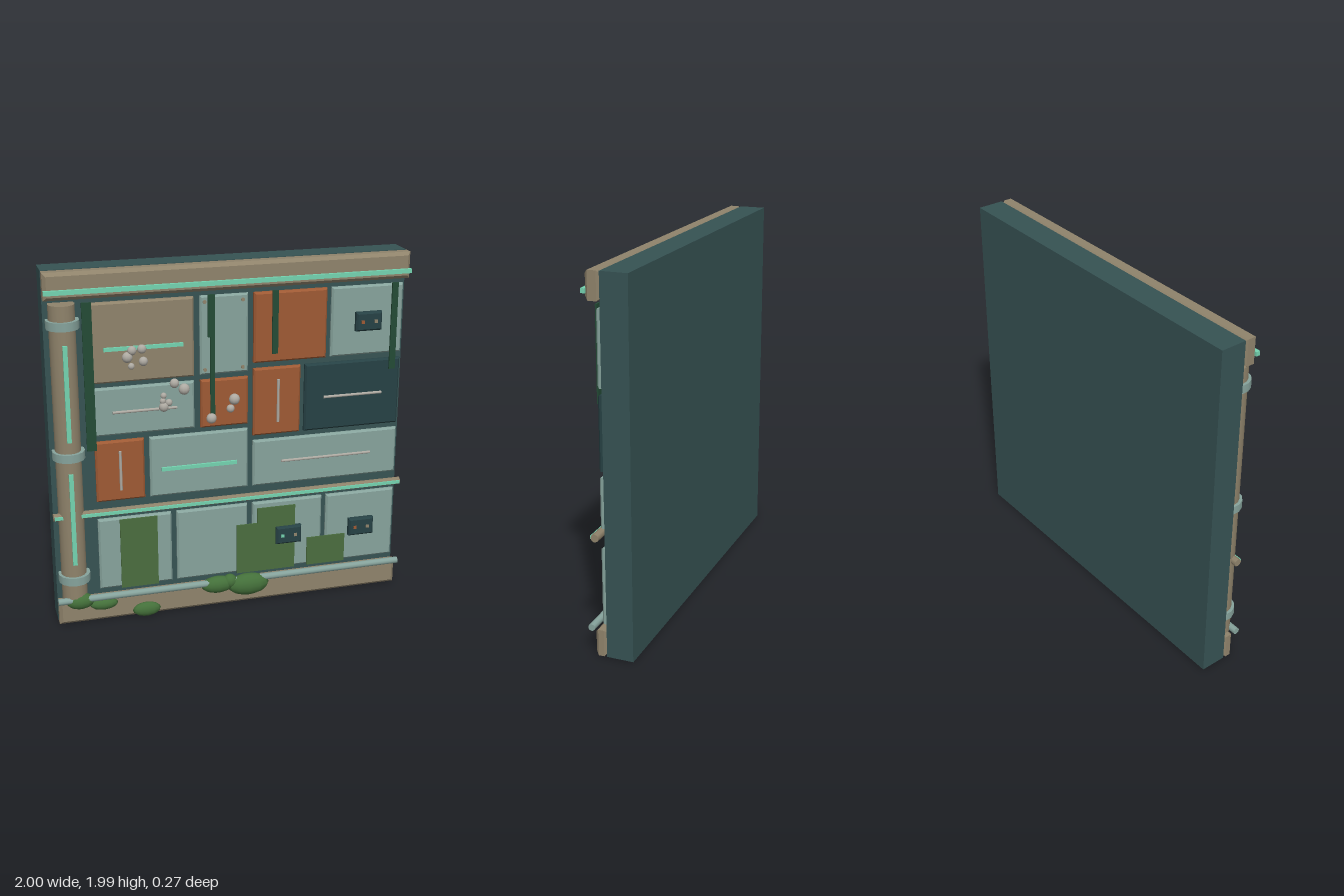
import * as THREE from 'three';

const mat = (name, color) => Object.assign(new THREE.MeshStandardMaterial({ color }), { name });
const M = {
  wall: mat('wall teal', 0x365253), light: mat('pale panel', 0x86a39c), tan: mat('tan metal', 0x8f836b),
  rust: mat('rust orange', 0x9e5a34), mint: mat('mint glow', 0x74d3b0), dark: mat('dark panel', 0x264144),
  moss: mat('moss green', 0x4a6c3e), vine: mat('vine green', 0x234a35), bush: mat('bush green', 0x44703a),
  grey: mat('pale grey', 0xaeaaa2),
};

export function createModel() {
  const root = new THREE.Group();
  root.name = 'wallSection';
  const add = (name, geo, m, x = 0, y = 0, z = 0) => {
    const mesh = new THREE.Mesh(geo, m);
    mesh.name = name;
    mesh.position.set(x, y, z);
    root.add(mesh);
    return mesh;
  };
  // Plain block given by its edges
  const block = (name, m, x0, x1, y0, y1, z0, z1) =>
    add(name, new THREE.BoxGeometry(x1 - x0, y1 - y0, z1 - z0), m, (x0 + x1) / 2, (y0 + y1) / 2, (z0 + z1) / 2);
  // Chamfered block given by its edges
  const plate = (name, m, x0, x1, y0, y1, z0, z1, b = 0.012) => {
    const w = (x1 - x0) / 2 - b, h = (y1 - y0) / 2 - b;
    const s = new THREE.Shape([[-w, -h], [w, -h], [w, h], [-w, h]].map(p => new THREE.Vector2(...p)));
    const g = new THREE.ExtrudeGeometry(s, {
      depth: z1 - z0 - 2 * b, bevelEnabled: true, bevelSize: b, bevelThickness: b, bevelSegments: 1,
    });
    return add(name, g, m, (x0 + x1) / 2, (y0 + y1) / 2, z0 + b);
  };
  // Round bar along x or y
  const bar = (name, m, r, len, x, y, z, alongX, sides = 8) => {
    const mesh = add(name, new THREE.CylinderGeometry(r, r, len, sides), m, x, y, z);
    if (alongX) mesh.rotation.z = Math.PI / 2;
    return mesh;
  };

  // Backing wall and beams
  block('wall', M.wall, -0.995, 0.995, 0.01, 2, -0.14, 0.005);
  plate('topBeam', M.tan, -0.995, 0.995, 1.855, 2, 0.003, 0.085, 0.018);
  plate('bottomBeam', M.tan, -0.995, 0.995, 0.01, 0.155, 0.003, 0.07, 0.018);
  block('topLightStrip', M.mint, -0.995, 0.995, 1.888, 1.912, 0.08, 0.102);

  // Wall panels: material, edges x0 x1 y0 y1, front z
  [
    ['tan', -0.755, -0.205, 1.385, 1.82, 0.04],
    ['light', -0.17, 0.097, 1.385, 1.82, 0.03],
    ['rust', 0.127, 0.54, 1.43, 1.82, 0.04],
    ['light', 0.567, 0.98, 1.43, 1.82, 0.035],
    ['light', -0.755, -0.205, 1.09, 1.357, 0.035],
    ['rust', -0.17, 0.097, 1.085, 1.357, 0.035],
    ['rust', 0.127, 0.397, 1.01, 1.397, 0.035],
    ['dark', 0.422, 0.98, 1.01, 1.397, 0.035],
    ['rust', -0.755, -0.487, 0.71, 1.057, 0.035],
    ['light', -0.457, 0.097, 0.71, 1.057, 0.035],
    ['light', 0.127, 0.98, 0.71, 0.98, 0.035],
    ['light', -0.755, -0.343, 0.185, 0.605, 0.035],
    ['light', -0.313, 0.097, 0.185, 0.605, 0.035],
    ['light', 0.127, 0.54, 0.185, 0.605, 0.035],
    ['light', 0.567, 0.98, 0.185, 0.605, 0.035],
  ].forEach(([m, x0, x1, y0, y1, z], i) => plate('panel' + (i + 1), M[m], x0, x1, y0, y1, 0.003, z, 0.01));

  // Corner bolts on the narrow panel
  for (const x of [-0.145, 0.065]) for (const y of [1.415, 1.788]) {
    add('bolt', new THREE.CylinderGeometry(0.01, 0.01, 0.012, 8), M.tan, x, y, 0.033).rotation.x = Math.PI / 2;
  }

  // Thin handles and panel light strips
  bar('handle', M.grey, 0.008, 0.35, -0.48, 1.222, 0.045, true);
  bar('handle', M.grey, 0.008, 0.34, 0.7, 1.205, 0.045, true);
  bar('handle', M.grey, 0.008, 0.53, 0.553, 0.85, 0.045, true);
  bar('handle', M.grey, 0.008, 0.245, 0.265, 1.208, 0.045, false);
  bar('handle', M.grey, 0.008, 0.225, -0.622, 0.888, 0.045, false);
  block('panelLight', M.mint, -0.692, -0.267, 1.561, 1.581, 0.035, 0.052);
  block('panelLight', M.mint, -0.395, 0.03, 0.86, 0.88, 0.03, 0.048);

  // Upright pipe with collars and light strips
  bar('column', M.tan, 0.07, 1.68, -0.9, 0.99, 0.035, false, 16);
  for (const y of [1.725, 1.01, 0.29]) bar('collar', M.light, 0.088, 0.046, -0.898, y, 0.035, false, 14);
  for (const [y0, y1] of [[1.1, 1.625], [0.39, 0.92]]) block('columnLight', M.mint, -0.912, -0.888, y0, y1, 0.1, 0.116);

  // Middle rail and lower pipe
  bar('middleRail', M.tan, 0.022, 2, 0, 0.66, 0.058, true);
  block('railLight', M.mint, -0.995, 0.995, 0.651, 0.669, 0.066, 0.084);
  bar('lowerPipe', M.light, 0.019, 2, 0, 0.163, 0.086, true, 10);

  // Control boxes with two indicator lights
  for (const [x, y, lamp] of [[0.775, 1.625, 'rust'], [0.335, 0.398, 'mint'], [0.775, 0.398, 'rust']]) {
    plate('controlBox', M.dark, x - 0.075, x + 0.075, y - 0.053, y + 0.053, 0.03, 0.07, 0.01);
    block('indicator', M[lamp], x - 0.048, x - 0.03, y - 0.009, y + 0.009, 0.068, 0.075);
    block('indicator', M.tan, x + 0.028, x + 0.046, y - 0.009, y + 0.009, 0.068, 0.075);
  }

  // Flat moss patches
  [
    [-0.637, -0.427, 0.185, 0.6], [0.03, 0.375, 0.185, 0.485],
    [0.15, 0.375, 0.485, 0.575], [0.45, 0.68, 0.185, 0.357],
  ].forEach(e => block('mossPatch', M.moss, ...e, 0.042, 0.05));

  // Hanging vines
  [
    [-0.8, -0.748, 1.02, 1.83], [-0.133, -0.095, 1.6, 1.83], [-0.12, -0.095, 1.14, 1.6],
    [0.225, 0.258, 1.48, 1.83], [0.908, 0.943, 1.34, 1.83],
  ].forEach(e => block('vine', M.vine, ...e, 0.044, 0.054));

  // Pale round fungi: x, y, radius
  [
    [-0.57, 1.525, 0.029], [-0.545, 1.56, 0.025], [-0.492, 1.565, 0.025], [-0.485, 1.497, 0.025],
    [-0.55, 1.475, 0.018], [-0.32, 1.362, 0.026], [-0.267, 1.325, 0.031], [-0.38, 1.298, 0.017],
    [-0.38, 1.235, 0.027], [-0.352, 1.257, 0.02], [-0.385, 1.268, 0.017], [0.012, 1.243, 0.031],
    [-0.01, 1.192, 0.023], [-0.117, 1.145, 0.029],
  ].forEach(([x, y, r]) => add('fungus', new THREE.SphereGeometry(r, 10, 8), M.grey, x, y, 0.057).scale.z = 0.85);

  // Low bushes: x, y, z and half sizes
  [
    [-0.877, 0.15, 0.075, 0.08, 0.047, 0.042], [-0.747, 0.117, 0.075, 0.08, 0.035, 0.035],
    [-0.505, 0.05, 0.078, 0.08, 0.042, 0.03], [-0.09, 0.147, 0.078, 0.098, 0.05, 0.042],
    [-0.02, 0.16, 0.08, 0.042, 0.042, 0.036], [0.088, 0.13, 0.084, 0.122, 0.065, 0.05],
  ].forEach(([x, y, z, a, b, c]) => add('bush', new THREE.SphereGeometry(1, 12, 8), M.bush, x, y, z).scale.set(a, b, c));

  return root;
}
